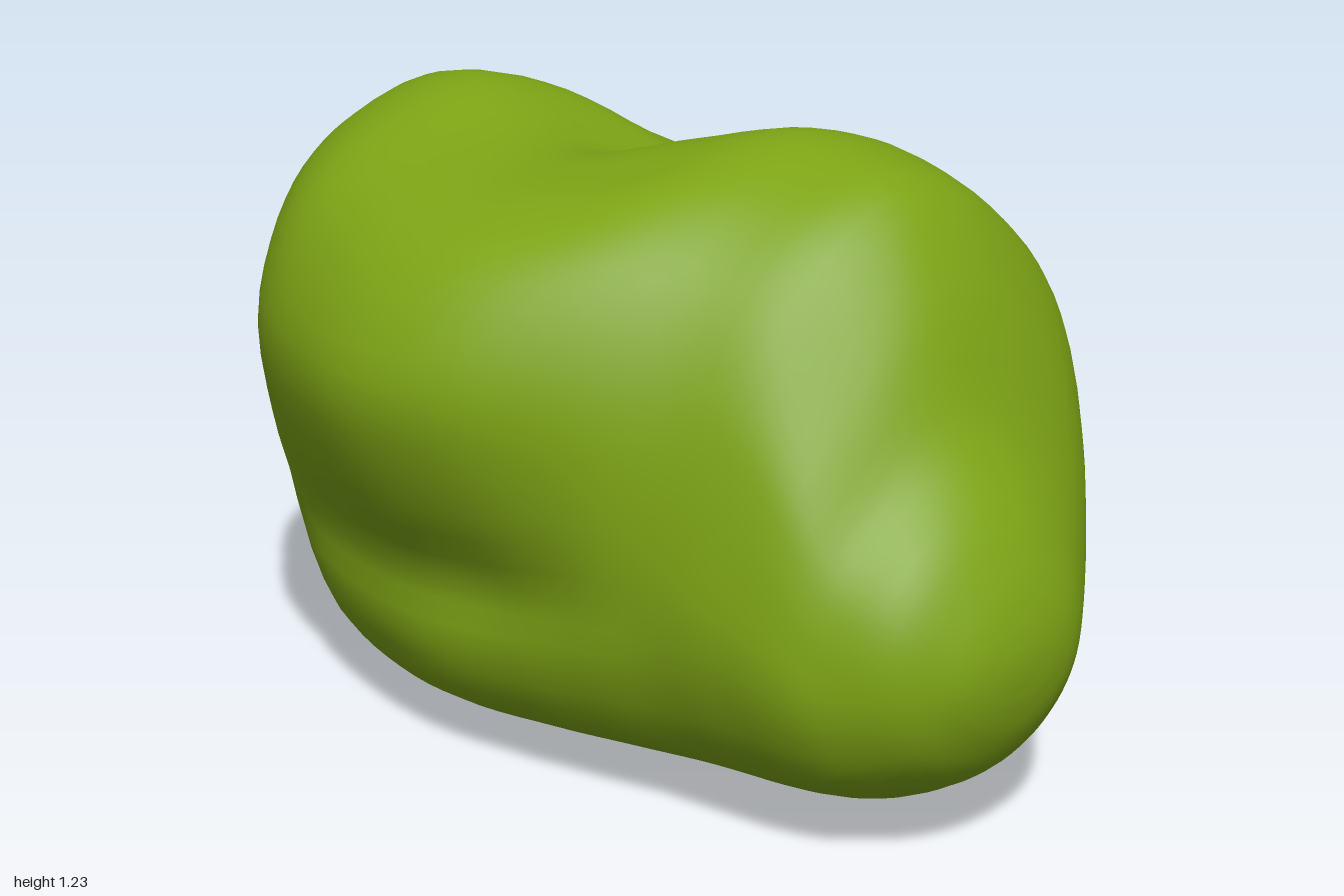
import * as THREE from 'three';

// Cross-sections from back to front: [z, bottom, top, xMin, xMax, lumpiness]
const STATIONS = [
  [-1.0, 0.42, 0.47, -0.06, 0.0, 0],
  [-0.99, 0.34, 0.54, -0.14, 0.07, 0],
  [-0.96, 0.26, 0.64, -0.21, 0.14, 0],
  [-0.9, 0.17, 0.83, -0.3, 0.23, 0.1],
  [-0.82, 0.1, 1.05, -0.37, 0.3, 0.3],
  [-0.68, 0.04, 1.18, -0.47, 0.39, 0.5],
  [-0.48, 0.01, 1.23, -0.6, 0.51, 0.75],
  [-0.26, 0.0, 1.21, -0.67, 0.63, 0.9],
  [-0.06, 0.01, 1.19, -0.69, 0.68, 1],
  [0.14, 0.02, 1.2, -0.64, 0.69, 1],
  [0.31, 0.02, 1.23, -0.55, 0.67, 0.95],
  [0.46, 0.02, 1.21, -0.46, 0.62, 0.9],
  [0.6, 0.03, 1.16, -0.41, 0.55, 0.85],
  [0.72, 0.06, 1.0, -0.38, 0.45, 0.75],
  [0.81, 0.1, 0.79, -0.34, 0.36, 0.5],
  [0.91, 0.17, 0.65, -0.27, 0.24, 0.1],
  [0.965, 0.25, 0.55, -0.19, 0.16, 0],
  [0.99, 0.32, 0.48, -0.13, 0.08, 0],
  [1.0, 0.38, 0.43, -0.06, 0.0, 0],
];

// Mid-body outline: u from -1 to 1 across, v from 0 to 1 upward
const MIDDLE = [
  [-0.03, 0], [0.3, 0.03], [0.55, 0.09], [0.72, 0.21], [0.79, 0.32], [0.92, 0.42],
  [1, 0.57], [0.94, 0.7], [0.8, 0.81], [0.52, 0.89], [0.3, 0.96], [-0.05, 1],
  [-0.4, 0.96], [-0.6, 0.93], [-0.8, 0.87], [-0.94, 0.77], [-1, 0.64], [-0.9, 0.47],
  [-0.76, 0.33], [-0.76, 0.21], [-0.65, 0.09], [-0.4, 0.03],
];

// Front outline, point for point: full low lobe to -x, slanted underside to +x
const FRONT = [
  [-0.03, 0], [0.28, 0.04], [0.5, 0.1], [0.68, 0.19], [0.81, 0.3], [0.93, 0.42],
  [1, 0.56], [0.94, 0.69], [0.8, 0.8], [0.56, 0.9], [0.3, 0.97], [0, 1],
  [-0.25, 0.97], [-0.47, 0.91], [-0.66, 0.82], [-0.8, 0.71], [-0.88, 0.6], [-0.95, 0.48],
  [-1, 0.36], [-0.96, 0.24], [-0.8, 0.11], [-0.46, 0.03],
];

const AROUND = 66;
const ALONG = 72;

const spline = (points, closed) => new THREE.CatmullRomCurve3(points, closed, 'catmullrom', 0.5);
const outlinePoints = (outline) => {
  const curve = spline(outline.map(([u, v]) => new THREE.Vector3(u, v * 2 - 1, 0)), true);
  return Array.from({ length: AROUND }, (_, j) => curve.getPoint(j / AROUND));
};

function bodyGeometry() {
  const heights = spline(STATIONS.map(([z, lo, hi]) => new THREE.Vector3(z, lo, hi)), false);
  const widths = spline(STATIONS.map((s) => new THREE.Vector3(s[3], s[4], s[5])), false);
  const middle = outlinePoints(MIDDLE);
  const front = outlinePoints(FRONT);
  const positions = [];
  const indices = [];

  for (let i = 0; i <= ALONG; i++) {
    const { x: z, y: lo, z: hi } = heights.getPoint(i / ALONG);
    const { x: x0, y: x1, z: lump } = widths.getPoint(i / ALONG);
    const nose = THREE.MathUtils.smoothstep(z, 0.05, 0.65);
    for (let j = 0; j < AROUND; j++) {
      // Blend a plain oval toward the lumpy outline
      const p = middle[j].clone().lerp(front[j], nose);
      const a = Math.atan2(p.y, p.x);
      const u = THREE.MathUtils.lerp(Math.cos(a), p.x, lump);
      const v = THREE.MathUtils.lerp(Math.sin(a), p.y, lump);
      const x = (x0 + x1) / 2 + (u * (x1 - x0)) / 2;
      const y = (lo + hi) / 2 + (v * (hi - lo)) / 2;
      // Hollow on top between the two humps, and a dip where the nose meets the body
      const hollow = ((x - 0.12) / 0.28) ** 2 + ((z + 0.15) / 0.19) ** 2;
      const dip = ((x + 0.25) / 0.16) ** 2 + ((z - 0.72) / 0.12) ** 2;
      const drop = 0.1 * Math.exp(-hollow) + 0.09 * Math.exp(-dip);
      positions.push(x, y - drop * Math.max(0, v), z);
    }
  }

  // Skin between neighbouring sections
  for (let i = 0; i < ALONG; i++) {
    for (let j = 0; j < AROUND; j++) {
      const k = (j + 1) % AROUND;
      const a = i * AROUND + j, b = i * AROUND + k;
      const c = a + AROUND, d = b + AROUND;
      indices.push(a, b, c, b, d, c);
    }
  }

  // Small end caps
  const back = positions.length / 3;
  positions.push(-0.03, 0.445, -1, -0.03, 0.405, 1);
  for (let j = 0; j < AROUND; j++) {
    const k = (j + 1) % AROUND;
    indices.push(back, k, j);
    indices.push(back + 1, ALONG * AROUND + j, ALONG * AROUND + k);
  }

  const geometry = new THREE.BufferGeometry();
  geometry.setAttribute('position', new THREE.Float32BufferAttribute(positions, 3));
  geometry.setIndex(indices);
  geometry.computeVertexNormals();
  return geometry;
}

export function createModel() {
  const group = new THREE.Group();
  group.name = 'lumpyBoulder';
  const body = new THREE.Mesh(bodyGeometry(), new THREE.MeshStandardMaterial({ color: 0x7da315 }));
  body.name = 'body';
  group.add(body);
  return group;
}
